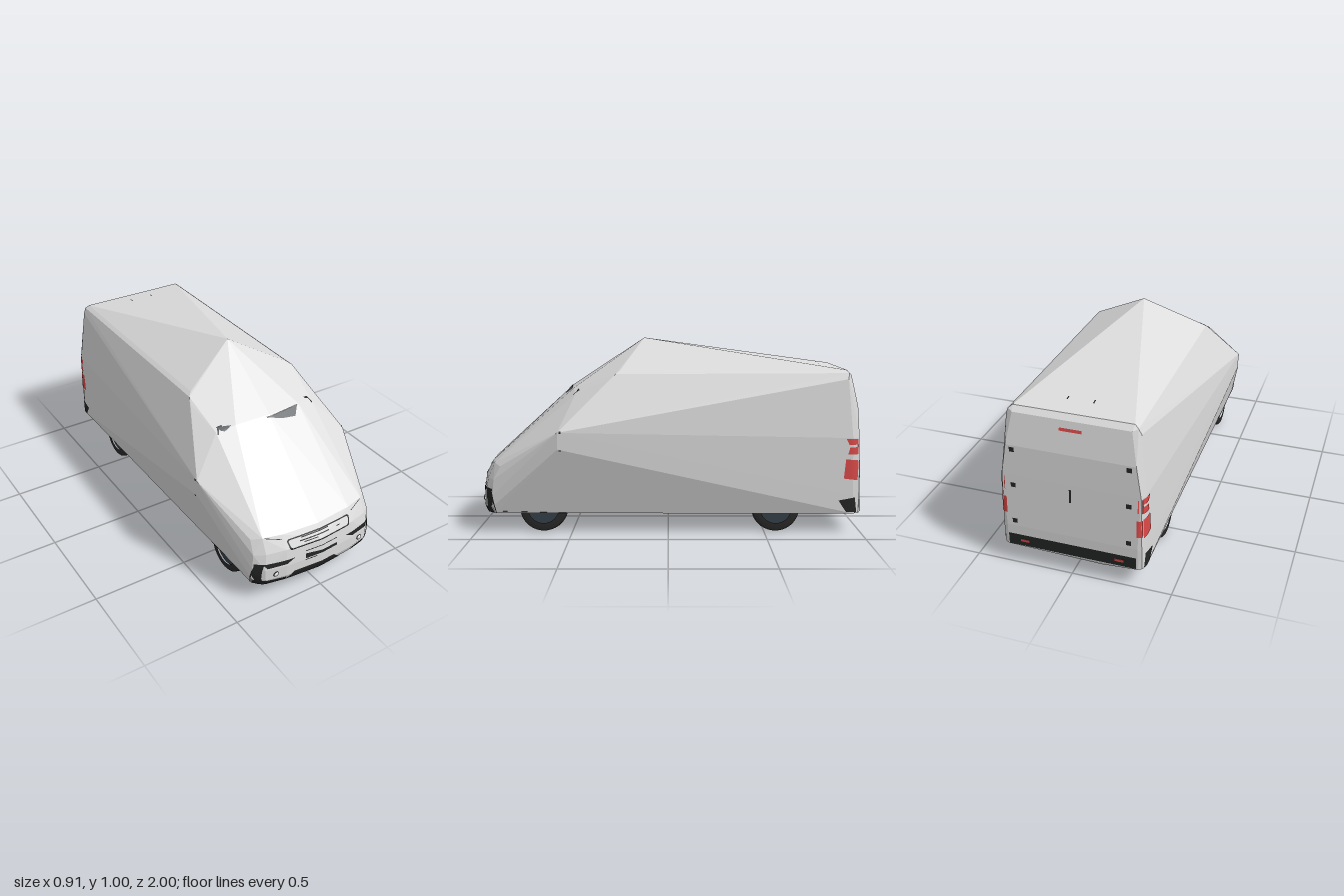
import * as THREE from 'three';
import { ConvexGeometry } from 'three/addons/geometries/ConvexGeometry.js';

const mat = (name, color, side = THREE.DoubleSide) => {
  const m = new THREE.MeshStandardMaterial({ color, side });
  m.name = name;
  return m;
};

export function createModel() {
  const van = new THREE.Group();
  van.name = 'van';
  const paint = mat('silver paint', 0xdcdcdc, THREE.FrontSide);
  const black = mat('black trim', 0x232424);
  const rubber = mat('tyre rubber', 0x2b2b2b, THREE.FrontSide);
  const slate = mat('wheel slate', 0x36424a, THREE.FrontSide);
  const glass = mat('dark glass', 0x4c5155);
  const red = mat('lamp red', 0xdc4a48);
  const lamp = mat('lamp white', 0xeeeeee);

  // Faceted shell: half the points, mirrored in x
  const half = [
    [0, 1, 0.13], // roof peak
    [0.45, 0.54, 0.56], [0.45, 0.455, 0.56], // widest points
    [0.295, 0.84, 0.25], [0.315, 0.825, 0.27], [0.325, 0.8, 0.3], // roof rail, front
    [0.295, 0.845, -0.92], [0.315, 0.83, -0.93], [0.328, 0.8, -0.925], [0.29, 0.82, -0.945], // roof rail, rear
    [0, 0.748, 0.515], [0.19, 0.742, 0.5], [0.29, 0.72, 0.48], // windscreen top
    [0.36, 0.5, -0.95], [0.345, 0.5, -0.985], [0.32, 0.66, -0.978], // rear corner
    [0.362, 0.105, -0.955], [0.362, 0.2, -0.955], [0.35, 0.105, -0.985], [0.35, 0.2, -0.99], [0.33, 0.105, -0.996], [0.33, 0.22, -0.996],
    [0, 0.355, 0.945], [0.2, 0.36, 0.93], [0.3, 0.362, 0.905], [0.345, 0.35, 0.87], // bonnet edge
    [0, 0.29, 0.985], [0.2, 0.29, 0.967], [0.3, 0.285, 0.94], [0.35, 0.28, 0.905], // grille level
    [0, 0.2, 0.996], [0.2, 0.2, 0.98], [0.31, 0.2, 0.955], [0.358, 0.2, 0.91], // bumper
    [0, 0.14, 0.996], [0.2, 0.14, 0.98], [0.31, 0.14, 0.955], [0.36, 0.14, 0.91],
    [0, 0.104, 0.98], [0.2, 0.104, 0.963], [0.31, 0.104, 0.94], [0.352, 0.104, 0.9], // sill
  ];
  const pts = half.flatMap(([x, y, z]) => (x ? [1, -1] : [1]).map(s => new THREE.Vector3(s * x, y, z)));
  pts.push(new THREE.Vector3(-0.19, 0.065, -0.8), new THREE.Vector3(-0.15, 0.08, -0.98)); // low rear underside
  const shell = new THREE.Mesh(new ConvexGeometry(pts), paint);
  shell.name = 'bodyShell';
  van.add(shell);

  // Thin panels laid on the shell: corners are given in the plane seen from one side
  const ray = new THREE.Raycaster();
  const sides = {
    front: (u, v) => [[u, v, 3], [0, 0, -1]],
    back: (u, v) => [[u, v, -3], [0, 0, 1]],
    left: (u, v) => [[3, v, u], [-1, 0, 0]],
    right: (u, v) => [[-3, v, u], [1, 0, 0]],
    top: (u, v) => [[u, 3, v], [0, -1, 0]],
  };
  const onShell = (side, u, v) => {
    for (let k = 0; k < 30; k++) {
      const [o, d] = sides[side](u * (1 - k * 0.004), v + k * 0.001);
      ray.set(new THREE.Vector3(...o), new THREE.Vector3(...d));
      const hit = ray.intersectObject(shell)[0];
      if (hit) return hit.point.addScaledVector(hit.face.normal, 0.003);
    }
    return new THREE.Vector3(0, 0.3, 0);
  };
  // Corners run a, b along the top and c, d back along the bottom
  function panel(name, material, side, [a, b, c, d]) {
    const span = Math.hypot(b[0] - a[0], b[1] - a[1]);
    const g = new THREE.PlaneGeometry(1, 1, Math.max(1, Math.ceil(span / 0.02)), 3);
    const p = g.attributes.position;
    for (let i = 0; i < p.count; i++) {
      const s = p.getX(i) + 0.5, t = 0.5 - p.getY(i);
      const mix = k => (a[k] * (1 - s) + b[k] * s) * (1 - t) + (d[k] * (1 - s) + c[k] * s) * t;
      const q = onShell(side, mix(0), mix(1));
      p.setXYZ(i, q.x, q.y, q.z);
    }
    // turn the faces outward
    const [o, e] = [new THREE.Vector3(), new THREE.Vector3()];
    const ix = g.index.array;
    const A = new THREE.Vector3().fromBufferAttribute(p, ix[0]);
    o.fromBufferAttribute(p, ix[1]).sub(A);
    e.fromBufferAttribute(p, ix[2]).sub(A);
    if (o.cross(e).dot(new THREE.Vector3(...sides[side](0, 0)[1])) > 0) {
      for (let i = 0; i < ix.length; i += 3) [ix[i], ix[i + 1]] = [ix[i + 1], ix[i]];
    }
    g.computeVertexNormals();
    const m = new THREE.Mesh(g, material);
    m.name = name;
    van.add(m);
  }
  const rect = (x0, x1, y0, y1) => [[x0, y1], [x1, y1], [x1, y0], [x0, y0]];

  // Windscreen opening and wiper marks
  panel('windscreenGlass', glass, 'front', [[-0.02, 0.741], [0.18, 0.741], [0.14, 0.707], [0.06, 0.718]]);
  panel('windscreenSeal', black, 'front', rect(-0.02, 0.18, 0.737, 0.742));
  panel('windscreenCornerGlass', glass, 'front', [[-0.28, 0.735], [-0.21, 0.741], [-0.25, 0.722], [-0.265, 0.725]]);
  for (const s of [-1, 1]) {
    panel('screenCornerSeal', black, 'front', [[s * 0.25, 0.742], [s * 0.275, 0.736], [s * 0.275, 0.729], [s * 0.25, 0.737]]);
    panel('screenCornerSeal', black, 'front', [[s * 0.275, 0.736], [s * 0.288, 0.712], [s * 0.282, 0.712], [s * 0.27, 0.732]]);
  }

  // Grille ring
  const ringPts = [[-0.18, 0.333], [0.18, 0.333], [0.189, 0.325], [0.18, 0.287], [0.17, 0.282], [-0.17, 0.282], [-0.18, 0.287], [-0.189, 0.325]];
  ringPts.forEach(([x, y], i) => {
    const [x2, y2] = ringPts[(i + 1) % ringPts.length];
    const inner = (u, v) => [u * 0.96, 0.309 + (v - 0.309) * 0.76];
    panel('grilleRing', black, 'front', [[x, y], [x2, y2], inner(x2, y2), inner(x, y)]);
  });
  panel('grilleBar', black, 'front', rect(-0.11, 0.05, 0.321, 0.326));
  panel('grilleBar', black, 'front', rect(-0.12, 0.05, 0.307, 0.312));
  panel('grilleBar', black, 'front', rect(-0.1, -0.02, 0.298, 0.302));
  panel('grilleBar', black, 'front', rect(0.1, 0.12, 0.307, 0.311));

  // Number plate recess and bumper
  panel('plateRecess', black, 'front', [[-0.095, 0.235], [0.095, 0.21], [0.095, 0.207], [-0.095, 0.207]]);
  panel('plateRecess', black, 'front', rect(-0.03, 0.095, 0.207, 0.222));
  panel('plateTop', black, 'front', rect(-0.095, 0.095, 0.248, 0.252));
  panel('plateBottom', black, 'front', rect(-0.1, -0.03, 0.198, 0.202));
  panel('lowerIntake', black, 'front', [[-0.16, 0.155], [0.08, 0.155], [0.13, 0.108], [-0.21, 0.108]]);
  for (const s of [-1, 1]) {
    panel('bumperLip', black, 'front', [[s * 0.2, 0.135], [s * 0.355, 0.14], [s * 0.355, 0.107], [s * 0.2, 0.11]]);
    panel('airIntake', black, 'front', [[s * 0.155, 0.235], [s * 0.32, 0.235], [s * 0.3, 0.21], [s * 0.2, 0.213]]);
    panel('bumperCorner', black, 'front', [[s * 0.32, 0.235], [s * 0.352, 0.232], [s * 0.352, 0.165], [s * 0.338, 0.175]]);
    panel('headlampEdge', black, 'front', [[s * 0.21, 0.341], [s * 0.29, 0.361], [s * 0.29, 0.358], [s * 0.21, 0.338]]);
    const fog = new THREE.Mesh(new THREE.SphereGeometry(0.013, 14, 8), lamp);
    fog.name = 'fogLamp';
    fog.position.copy(onShell('front', s * 0.257, 0.168));
    fog.scale.z = 0.5;
    van.add(fog);
    const rim = new THREE.Mesh(new THREE.TorusGeometry(0.013, 0.002, 4, 16), black);
    rim.name = 'fogLampRim';
    rim.position.copy(fog.position);
    van.add(rim);

    // Side trim and tail lamps
    const side = s > 0 ? 'left' : 'right';
    panel('bumperSide', black, side, [[0.945, 0.235], [0.915, 0.225], [0.89, 0.108], [0.94, 0.112]]);
    panel('rearBumperSide', black, side, [[-0.965, 0.19], [-0.88, 0.175], [-0.92, 0.115], [-0.975, 0.11]]);
    panel('tailLamp', red, side, [[-0.978, 0.385], [-0.915, 0.39], [-0.905, 0.29], [-0.978, 0.28]]);
    panel('tailLampUpper', red, side, [[-0.978, 0.495], [-0.915, 0.495], [-0.93, 0.465], [-0.978, 0.465]]);
    panel('tailLampUpper', red, side, [[-0.978, 0.452], [-0.935, 0.452], [-0.925, 0.415], [-0.978, 0.415]]);
    panel('sideTick', black, side, rect(0.54, 0.552, 0.535, 0.545));
    panel('sideTick', black, side, rect(0.54, 0.552, 0.445, 0.452));

    // Rear door hinges, lamp returns and reflectors
    for (const y of [0.25, 0.45, 0.64]) panel('doorHinge', black, 'back', rect(s * 0.275, s * 0.3, y - 0.012, y + 0.012));
    panel('tailLampReturn', red, 'back', rect(s * 0.325, s * 0.35, 0.29, 0.38));
    panel('tailLampReturn', red, 'back', rect(s * 0.33, s * 0.35, 0.42, 0.49));
    panel('roofTick', black, 'top', rect(s * 0.065 - 0.003, s * 0.065 + 0.003, -0.825, -0.8));
  }
  panel('rearBumper', black, 'back', rect(-0.325, 0.325, 0.11, 0.172));
  for (const s of [-1, 1]) {
    const r = new THREE.Mesh(new THREE.BoxGeometry(0.045, 0.013, 0.008), red);
    r.name = 'rearReflector';
    r.position.set(s * 0.24, 0.14, -0.997);
    van.add(r);
  }
  panel('brakeLamp', red, 'back', rect(-0.055, 0.055, 0.77, 0.785));
  panel('doorHandle', black, 'back', rect(-0.005, 0.005, 0.41, 0.48));

  // Wheels, mostly tucked inside the shell, with an axle housing between each pair
  const tyreProfile = [[0.08, -0.045], [0.112, -0.045], [0.122, -0.036], [0.126, -0.015], [0.126, 0.015], [0.122, 0.036], [0.112, 0.045], [0.08, 0.045]]
    .map(([r, y]) => new THREE.Vector2(r, y));
  const tyreGeo = new THREE.LatheGeometry(tyreProfile, 40).rotateZ(Math.PI / 2);
  const hubGeo = new THREE.CylinderGeometry(0.085, 0.085, 0.07, 28).rotateZ(Math.PI / 2);
  for (const z of [0.65, -0.56]) {
    for (const s of [-1, 1]) {
      const wheel = new THREE.Group();
      wheel.name = z > 0 ? 'frontWheel' : 'rearWheel';
      const tyre = new THREE.Mesh(tyreGeo, rubber);
      tyre.name = 'tyre';
      const hub = new THREE.Mesh(hubGeo, slate);
      hub.name = 'hub';
      wheel.add(tyre, hub);
      wheel.position.set(s * 0.3, 0.129, z);
      van.add(wheel);
    }
    const axle = new THREE.Mesh(new THREE.SphereGeometry(0.075, 24, 16), rubber);
    axle.name = 'axleHousing';
    axle.scale.z = 0.75;
    axle.position.set(0, 0.12, z);
    van.add(axle);
  }
  return van;
}
